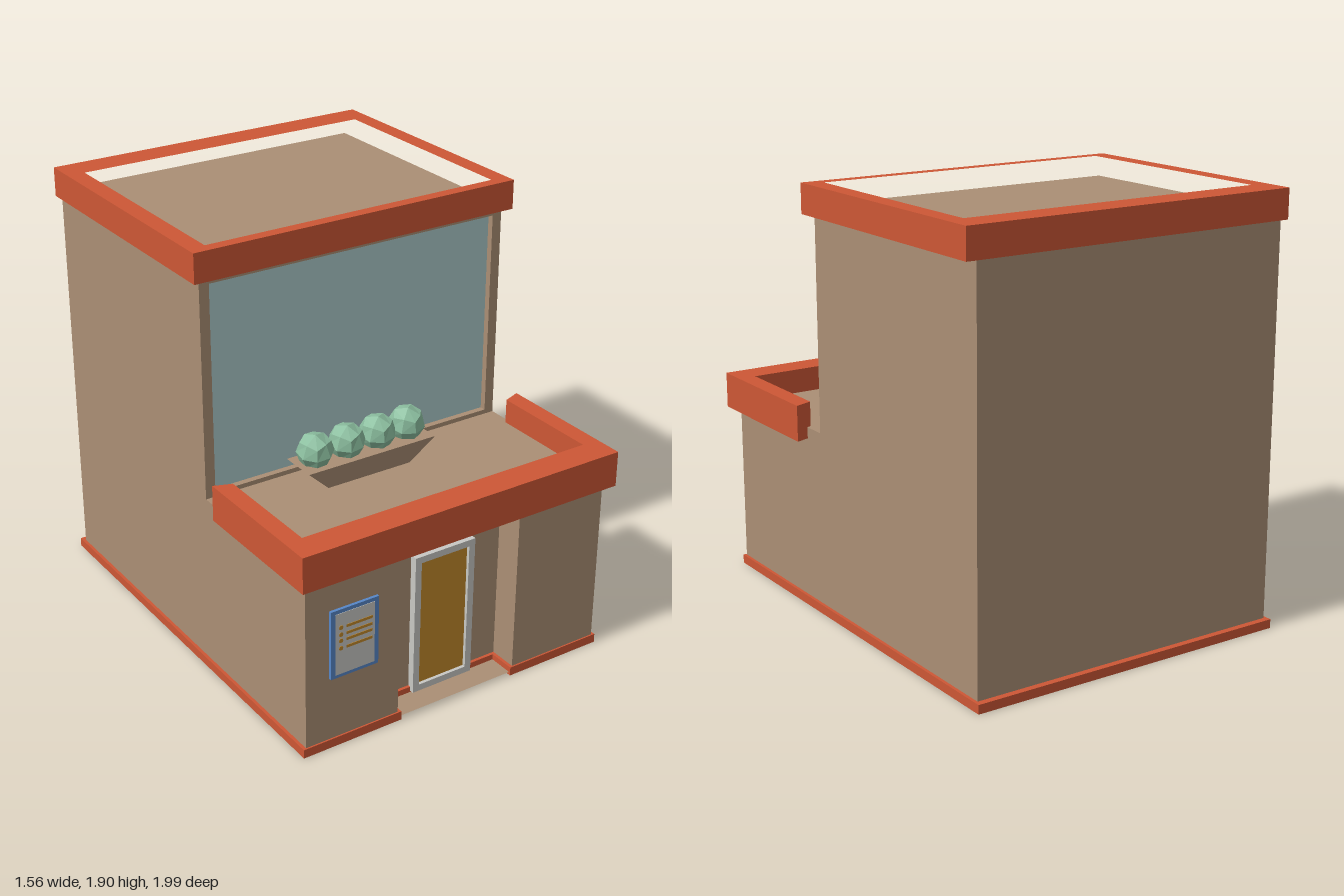
import * as THREE from 'three';

const mat = (name, color) => {
  const m = new THREE.MeshStandardMaterial({ color });
  m.name = name;
  return m;
};

export function createModel() {
  const wall = mat('wall', 0xab8f75);
  const red = mat('red trim', 0xcd5735);
  const glass = mat('glass', 0xadcbcb);
  const ochre = mat('ochre', 0xc2882a);
  const pale = mat('pale grey', 0xc8c8c4);
  const blue = mat('blue', 0x5787c8);
  const green = mat('green', 0x8cbfa0);
  green.flatShading = true;
  wall.side = glass.side = THREE.DoubleSide;

  const model = new THREE.Group();
  model.name = 'building';
  const add = (name, geo, m, parent = model) => {
    const mesh = new THREE.Mesh(geo, m);
    mesh.name = name;
    parent.add(mesh);
    return mesh;
  };
  const toShape = (pts, hole) => {
    const v = (list) => list.map(([x, y]) => new THREE.Vector2(x, y));
    const s = new THREE.Shape(v(pts));
    if (hole) s.holes.push(new THREE.Path(v(hole)));
    return s;
  };
  const rect = (x0, x1, y0, y1) => [[x0, y0], [x1, y0], [x1, y1], [x0, y1]];

  // Flat sheets facing z, x and y
  const sheetZ = (name, m, z, pts, hole) =>
    add(name, new THREE.ShapeGeometry(toShape(pts, hole)), m).position.z = z;
  const sheetX = (name, m, x, pts) =>
    add(name, new THREE.ShapeGeometry(toShape(pts)).rotateY(-Math.PI / 2), m).position.x = x;
  const sheetY = (name, m, y, x0, x1, z0, z1) =>
    add(name, new THREE.ShapeGeometry(toShape(rect(x0, x1, -z1, -z0))).rotateX(-Math.PI / 2), m).position.y = y;
  // Plan outline in x, z raised from y0 to y1
  const slab = (name, m, y0, y1, pts, hole) => {
    const flip = (list) => list && list.map(([x, z]) => [x, -z]);
    const geo = new THREE.ExtrudeGeometry(toShape(flip(pts), flip(hole)), { depth: y1 - y0, bevelEnabled: false });
    add(name, geo.rotateX(-Math.PI / 2), m).position.y = y0;
  };
  const box = (name, m, x0, x1, y0, y1, z0, z1, parent) =>
    add(name, new THREE.BoxGeometry(x1 - x0, y1 - y0, z1 - z0), m, parent)
      .position.set((x0 + x1) / 2, (y0 + y1) / 2, (z0 + z1) / 2);

  const L = -0.76, R = 0.72, back = -0.965, front = 0.983, mid = 0.235;
  const lowRoof = 0.82, topRoof = 1.8;
  const aL = -0.315, aR = 0.28, aTop = 0.765, aBack = 0.855;

  // Hollow shell, open underneath
  const profile = [[back, 0], [front, 0], [front, lowRoof], [mid, lowRoof], [mid, topRoof], [back, topRoof]];
  sheetX('rightWall', wall, L, profile);
  sheetX('leftWall', wall, R, profile);
  sheetZ('backWall', wall, back, rect(L, R, 0, topRoof));
  sheetY('upperRoof', wall, topRoof, L, R, back, mid);
  sheetY('lowerRoof', wall, lowRoof, L, R, mid, front);
  sheetZ('lowerFrontWall', wall, front, [[L, 0], [aL, 0], [aL, aTop], [aR, aTop], [aR, 0], [R, 0], [R, lowRoof], [L, lowRoof]]);

  // Entrance alcove
  sheetX('alcoveRightSide', wall, aL, rect(aBack, front, 0, aTop));
  sheetX('alcoveLeftSide', wall, aR, rect(aBack, front, 0, aTop));
  sheetZ('alcoveBack', wall, aBack, rect(aL, aR, 0, aTop));
  sheetY('alcoveCeiling', wall, aTop, aL, aR, aBack, front);
  sheetY('doorstep', wall, 0.014, aL, aR, aBack, front);

  // Upper front wall with a recessed window
  const wL = -0.715, wR = 0.675, w0 = 0.84, w1 = 1.76, wz = mid - 0.028;
  sheetZ('upperFrontWall', wall, mid, rect(L, R, lowRoof, topRoof), rect(wL, wR, w0, w1));
  for (const x of [wL, wR]) sheetX('windowReveal', wall, x, rect(wz, mid, w0, w1));
  for (const y of [w0, w1]) sheetY('windowReveal', wall, y, wL, wR, wz, mid);
  sheetZ('windowGlass', glass, wz, rect(wL, wR, w0, w1));

  // Base trim following the footprint; d is the offset from the wall
  const footprint = (d) => [
    [L - d, back - d * 2], [R + d, back - d * 2], [R + d, front + d * 0.5], [aR - d, front + d * 0.5],
    [aR - d, aBack + d], [aL + d, aBack + d], [aL + d, front + d * 0.5], [L - d, front + d * 0.5],
  ];
  slab('baseTrim', red, 0, 0.04, footprint(0.014), footprint(-0.02));

  // Parapets
  slab('upperParapet', red, 1.77, 1.9,
    [[-0.78, -0.987], [0.78, -0.987], [0.78, 0.237], [-0.78, 0.237]],
    [[-0.7, -0.85], [0.7, -0.85], [0.7, 0.185], [-0.7, 0.185]]);
  slab('lowerParapet', red, 0.77, 0.93, [
    [-0.78, 0.325], [-0.7, 0.355], [-0.7, 0.87], [0.7, 0.87],
    [0.7, 0.355], [0.78, 0.325], [0.78, 1], [-0.78, 1]]);

  // Door
  const door = new THREE.Group();
  door.name = 'door';
  model.add(door);
  const dL = -0.17, dR = 0.13, d0 = 0.02, d1 = 0.67, f = 0.03, dz = 0.888;
  box('doorPanel', ochre, dL + f, dR - f, d0 + f, d1 - f, aBack - 0.01, dz - 0.015, door);
  box('doorFrameRight', pale, dL, dL + f, d0, d1, aBack, dz, door);
  box('doorFrameLeft', pale, dR - f, dR, d0, d1, aBack, dz, door);
  box('doorFrameTop', pale, dL + f, dR - f, d1 - f, d1, aBack, dz, door);
  box('doorFrameSill', pale, dL + f, dR - f, d0, d0 + f, aBack, dz, door);

  // Notice board with a list of dotted lines
  const board = new THREE.Group();
  board.name = 'noticeBoard';
  model.add(board);
  box('boardFrame', blue, -0.65, -0.425, 0.33, 0.642, front - 0.005, 0.996, board);
  box('boardPaper', pale, -0.63, -0.445, 0.345, 0.625, 0.99, 0.998, board);
  for (const y of [0.56, 0.528, 0.5, 0.465]) {
    box('listLine', ochre, -0.58, -0.457, y - 0.006, y + 0.006, 0.994, 1, board);
    add('listDot', new THREE.CylinderGeometry(0.01, 0.01, 0.006, 8).rotateX(Math.PI / 2), ochre, board)
      .position.set(-0.605, y, 0.997);
  }

  // Planter box tapering towards the bottom
  const planter = new THREE.BoxGeometry(0.635, 0.105, 0.17);
  const p = planter.attributes.position;
  for (let i = 0; i < p.count; i++) {
    if (p.getY(i) < 0) p.setXYZ(i, p.getX(i) * 0.65, p.getY(i), p.getZ(i) * 0.7);
  }
  planter.computeVertexNormals();
  add('planter', planter, wall).position.set(-0.0825, 0.8725, 0.37);

  // Faceted round shrubs
  const ball = new THREE.BoxGeometry(1, 1, 1, 2, 2, 2);
  const q = ball.attributes.position;
  const v = new THREE.Vector3();
  for (let i = 0; i < q.count; i++) {
    v.fromBufferAttribute(q, i).setLength(0.081);
    q.setXYZ(i, v.x, v.y, v.z);
  }
  ball.computeVertexNormals();
  [-0.316, -0.16, -0.005, 0.146].forEach((x, i) => {
    const shrub = add('shrub', ball, green);
    shrub.position.set(x, 0.978, 0.37);
    shrub.rotation.set(0.15, 0.35 + i * 0.12, 0.1);
  });

  return model;
}
